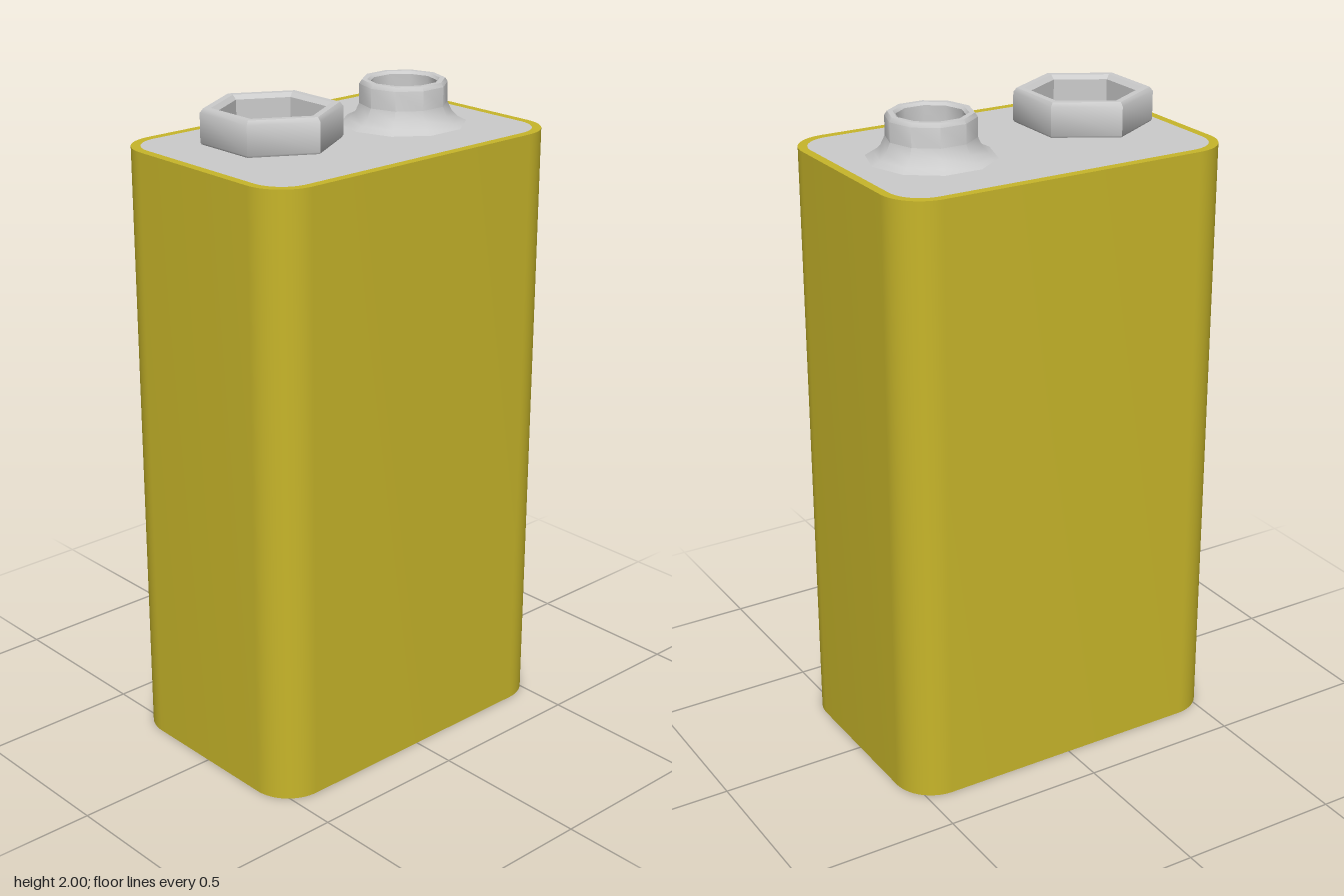
import * as THREE from 'three';
import { toCreasedNormals } from 'three/addons/utils/BufferGeometryUtils.js';

const BODY_TOP = 1.87;
const TERMINAL_Z = 0.255;
const metal = new THREE.MeshStandardMaterial({ color: 0xcccccc });
const yellow = new THREE.MeshStandardMaterial({ color: 0xc8b62a });

// Rounded rectangle outline, centred on the origin
function roundedRect(path, w, d, r) {
  path.moveTo(w - r, -d);
  path.absarc(w - r, -d + r, r, -Math.PI / 2, 0);
  path.absarc(w - r, d - r, r, 0, Math.PI / 2);
  path.absarc(-w + r, d - r, r, Math.PI / 2, Math.PI);
  path.absarc(-w + r, -d + r, r, Math.PI, Math.PI * 1.5);
  path.closePath();
  return path;
}

// Vertical prism standing on y = 0
function prism(shape, height) {
  const geo = new THREE.ExtrudeGeometry(shape, { depth: height, bevelEnabled: false, curveSegments: 8 });
  geo.rotateX(-Math.PI / 2);
  return toCreasedNormals(geo, 0.7);
}

// Faceted turned part from [radius, height] pairs
function turned(profile, sides, start) {
  const points = profile.map(([r, y]) => new THREE.Vector2(r, y));
  return toCreasedNormals(new THREE.LatheGeometry(points, sides, start), 0.7);
}

function add(parent, name, geometry, material = metal) {
  const mesh = new THREE.Mesh(geometry, material);
  mesh.name = name;
  parent.add(mesh);
  return mesh;
}

export function createModel() {
  const model = new THREE.Group();
  model.name = 'battery';

  // Coloured sleeve wrapped around a grey core that shows at both ends
  const sleeve = roundedRect(new THREE.Shape(), 0.36, 0.545, 0.125);
  sleeve.holes.push(roundedRect(new THREE.Path(), 0.333, 0.518, 0.1));
  add(model, 'sleeve', prism(sleeve, BODY_TOP), yellow);
  add(model, 'core', prism(roundedRect(new THREE.Shape(), 0.333, 0.518, 0.1), BODY_TOP));

  // Round terminal: flared foot, ten-sided collar, recessed floor
  const stud = add(model, 'studTerminal', turned([
    [0.19, 0], [0.165, 0.012], [0.145, 0.032], [0.132, 0.06],
    [0.132, 0.118], [0.124, 0.13], [0.108, 0.13], [0.1, 0.122], [0.1, 0.05], [0, 0.05],
  ], 10, 0));
  stud.position.set(0, BODY_TOP, -TERMINAL_Z);

  // Hexagonal socket terminal held up on a short stem
  const socket = new THREE.Group();
  socket.name = 'socketTerminal';
  socket.position.set(0, BODY_TOP, TERMINAL_Z);
  model.add(socket);
  add(socket, 'socketCup', turned([
    [0, 0.028], [0.2, 0.028], [0.204, 0.034], [0.204, 0.118], [0.194, 0.13],
    [0.172, 0.13], [0.158, 0.118], [0.158, 0.042], [0, 0.042],
  ], 6, Math.PI / 2));
  add(socket, 'socketStem', new THREE.CylinderGeometry(0.045, 0.045, 0.03, 10)).position.y = 0.015;
  add(socket, 'stemBridge', new THREE.BoxGeometry(0.16, 0.014, 0.08)).position.y = 0.022;

  // Small spring petals fanned around the centre of the socket floor
  const petal = new THREE.Shape([
    new THREE.Vector2(0, 0), new THREE.Vector2(0.076, -0.024), new THREE.Vector2(0.076, 0.024),
  ]);
  [0, 72, 142, 195, 232, 285, 325].forEach((deg, i) => {
    const leaf = add(socket, `springPetal${i + 1}`, prism(petal, 0.005));
    leaf.position.y = 0.042;
    leaf.rotation.set(0, THREE.MathUtils.degToRad(deg), 0.06);
  });

  return model;
}
